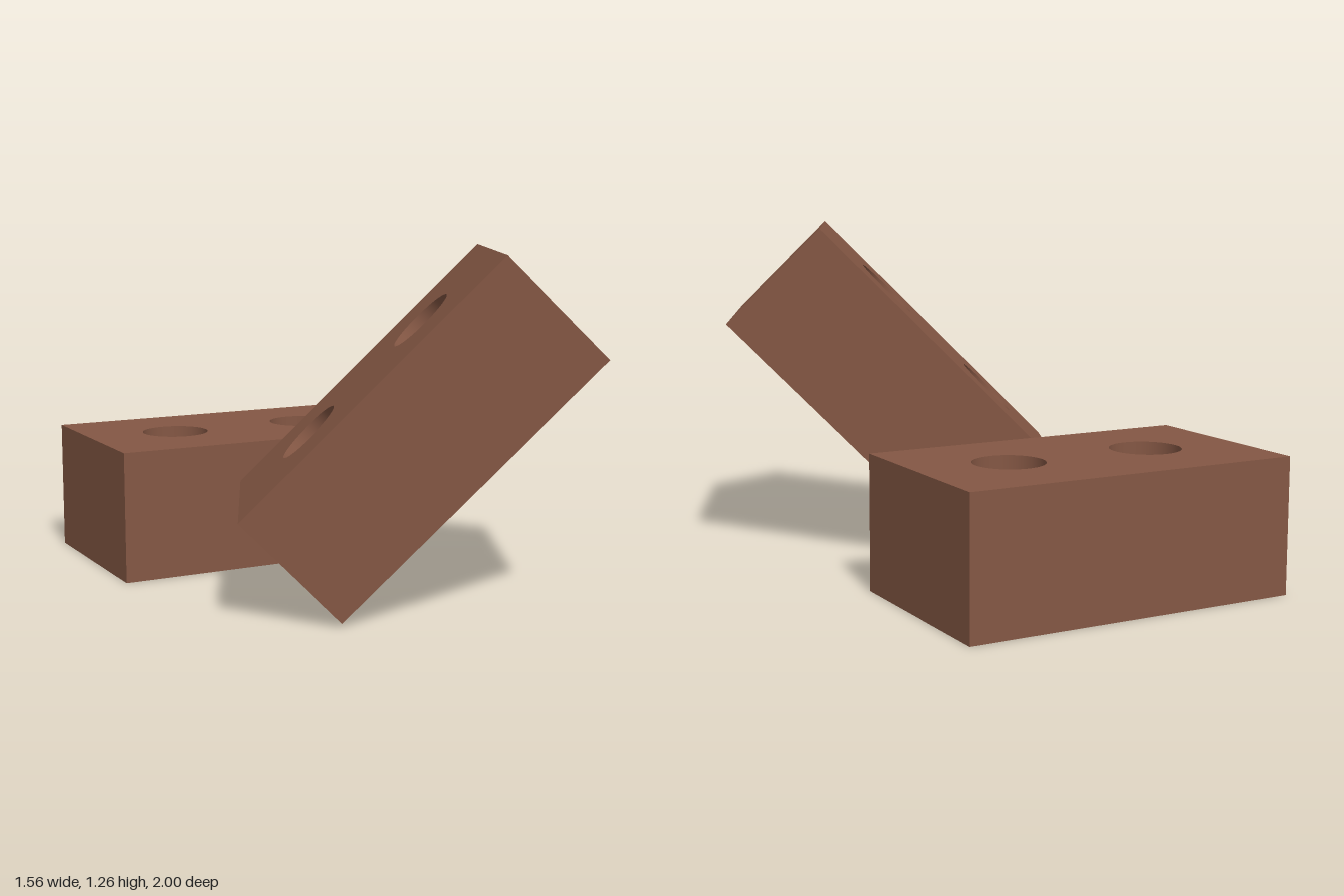
import * as THREE from 'three';
import { toCreasedNormals } from 'three/addons/utils/BufferGeometryUtils.js';

const LENGTH = 1.264, HEIGHT = 0.495, WIDTH = 0.732;
const HOLE_RADIUS = 0.129, HOLE_OFFSET = 0.28;

// Brick centred on its origin, with two holes running through its height
function brickGeometry() {
  const x = LENGTH / 2, z = WIDTH / 2;
  const outline = new THREE.Shape([
    new THREE.Vector2(-x, -z), new THREE.Vector2(x, -z),
    new THREE.Vector2(x, z), new THREE.Vector2(-x, z),
  ]);
  for (const side of [-1, 1]) {
    const hole = new THREE.Path();
    hole.absarc(side * HOLE_OFFSET, 0, HOLE_RADIUS, 0, Math.PI * 2, true);
    outline.holes.push(hole);
  }
  const geometry = new THREE.ExtrudeGeometry(outline, {
    depth: HEIGHT, bevelEnabled: false, curveSegments: 32,
  });
  geometry.translate(0, 0, -HEIGHT / 2);
  geometry.rotateX(-Math.PI / 2);
  return toCreasedNormals(geometry, Math.PI / 6);
}

export function createModel() {
  const group = new THREE.Group();
  group.name = 'bricks';
  const clay = new THREE.MeshStandardMaterial({ color: 0x845744 });
  clay.name = 'clayBrown';
  const geometry = brickGeometry();

  // Brick lying flat at the back
  const flatBrick = new THREE.Mesh(geometry, clay);
  flatBrick.name = 'flatBrick';
  flatBrick.position.set(-0.15, HEIGHT / 2, -0.634);
  group.add(flatBrick);

  // Brick tipped up on its lower edge at the front
  const tiltedBrick = new THREE.Mesh(geometry, clay);
  tiltedBrick.name = 'tiltedBrick';
  tiltedBrick.position.set(0.062, 0.635, 0.405);
  tiltedBrick.rotation.set(0, THREE.MathUtils.degToRad(-25), Math.PI / 4, 'YXZ');
  group.add(tiltedBrick);

  return group;
}
